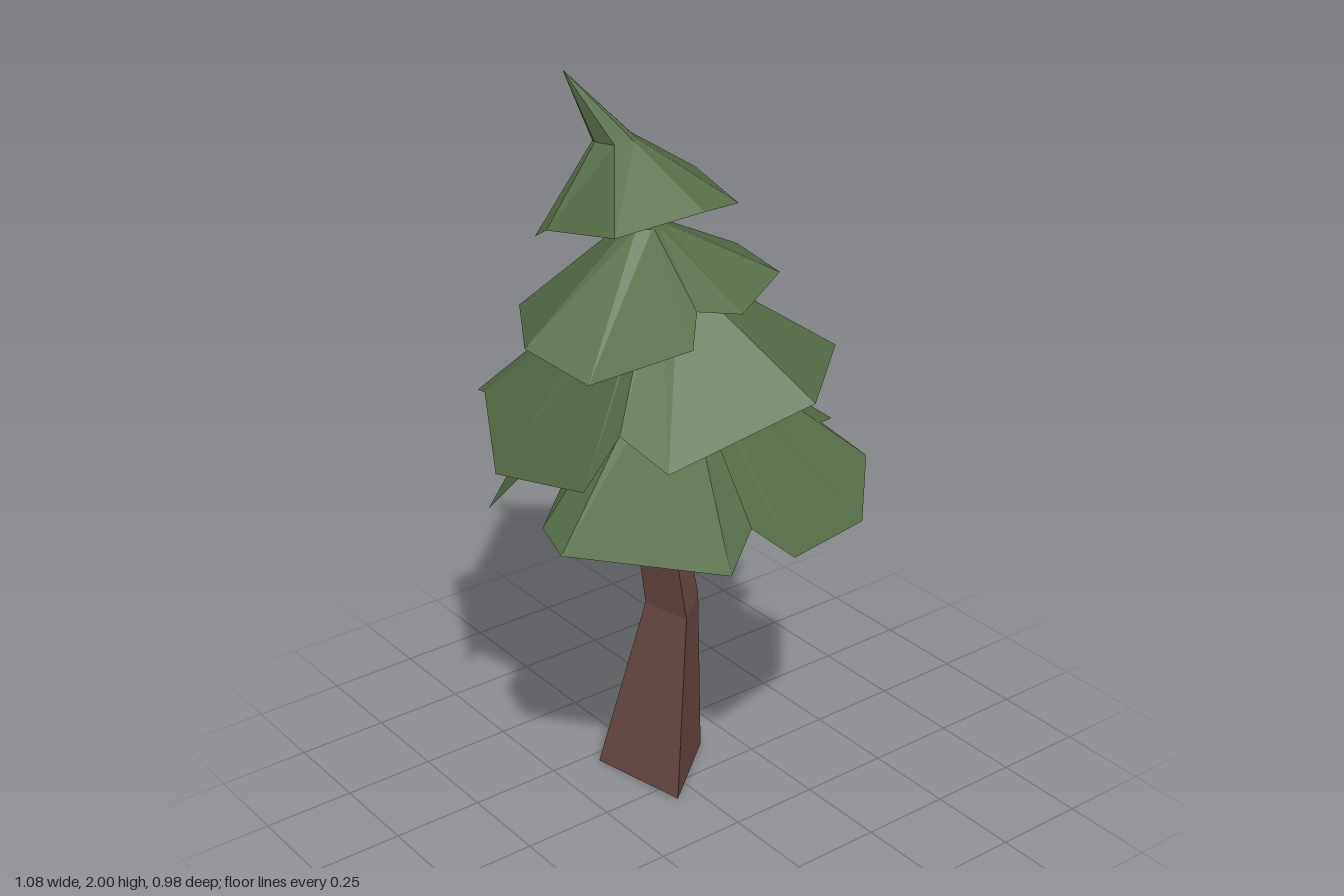
import * as THREE from 'three';

// Skin a stack of closed rings (counter-clockwise from above); a ring of one point closes to a tip.
function loft(rings) {
  const pos = [];
  const tri = (a, b, c) => pos.push(...a, ...b, ...c);
  for (let r = 0; r < rings.length - 1; r++) {
    const lo = rings[r], hi = rings[r + 1];
    lo.forEach((p, i) => {
      const j = (i + 1) % lo.length;
      if (hi.length === 1) tri(p, lo[j], hi[0]);
      else {
        tri(p, lo[j], hi[j]);
        tri(p, hi[j], hi[i]);
      }
    });
  }
  const g = new THREE.BufferGeometry();
  g.setAttribute('position', new THREE.Float32BufferAttribute(pos, 3));
  g.computeVertexNormals();
  return g;
}

// Foliage skirt: ragged rim, a small hub ring facing the rim points, and a tip
function skirt(hub, radius, tip, rim) {
  const [cx, cy, cz] = hub;
  const ring = rim.map(([x, , z]) => {
    const k = radius / Math.hypot(x - cx, z - cz);
    return [cx + (x - cx) * k, cy, cz + (z - cz) * k];
  });
  return loft([rim, ring, [tip]]);
}

// Crooked three-sided trunk: one triangle, moved and shrunk at each level
function trunk() {
  const corners = [[-0.128, 0.112], [0.152, 0.052], [-0.023, -0.163]];
  const level = (y, x, z, s) => corners.map(([u, v]) => [x + u * s, y, z + v * s]);
  const base = level(0, -0.087, 0.008, 1);
  const underside = [...base].reverse();
  const rings = [
    base,
    level(0.52, -0.05, -0.025, 0.5),
    level(0.78, -0.068, 0.005, 0.46),
    level(1.02, -0.075, 0.005, 0.36),
    level(1.8, -0.117, 0.09, 0.13),
  ];
  return { sides: loft(rings), base: loft([underside, [[-0.087, 0, 0.008]]]) };
}

export function createModel() {
  const tree = new THREE.Group();
  tree.name = 'pineTree';

  const foliage = new THREE.MeshStandardMaterial({ color: 0x566d48, flatShading: true, side: THREE.DoubleSide });
  foliage.name = 'foliage green';
  const bark = new THREE.MeshStandardMaterial({ color: 0x6b4b44, flatShading: true });
  bark.name = 'bark brown';

  const add = (name, geometry, material) => {
    const mesh = new THREE.Mesh(geometry, material);
    mesh.name = name;
    tree.add(mesh);
  };

  const { sides, base } = trunk();
  add('trunk', sides, bark);
  add('trunkBase', base, bark);

  // Lowest skirt, split by notches at the front and back
  add('lowestBranches', skirt([-0.03, 1.3, 0], 0.06, [-0.03, 1.33, 0], [
    [0.04, 0.975, -0.475], [-0.19, 0.95, -0.41], [-0.46, 0.94, -0.25], [-0.52, 0.83, 0.16],
    [-0.22, 0.89, 0.445], [-0.17, 0.99, 0.36], [-0.1, 1.06, 0.24], [0.03, 0.94, 0.45],
    [0.16, 0.93, 0.485], [0.5, 0.94, 0.235], [0.475, 1.03, 0.155], [0.535, 0.95, 0.07],
    [0.43, 0.905, -0.24], [0.24, 0.96, -0.42], [0.13, 1.03, -0.36],
  ]), foliage);

  // Widest skirt, with notches at the back left and front right
  add('lowerMiddleBranches', skirt([-0.06, 1.5, 0.02], 0.06, [-0.06, 1.53, 0.02], [
    [0.03, 1.18, -0.49], [-0.26, 1.18, -0.46], [-0.32, 1.21, -0.4], [-0.32, 1.32, -0.17],
    [-0.54, 1.14, -0.15], [-0.51, 1.07, 0.28], [-0.43, 1.1, 0.31], [-0.22, 0.98, 0.42],
    [0.13, 1.06, 0.395], [0.15, 1.19, 0.3], [0.29, 1.13, 0.26], [0.39, 1.25, -0.11],
  ]), foliage);

  // Smaller skirt below the bare stretch of trunk
  add('upperMiddleBranches', skirt([-0.08, 1.61, 0.05], 0.05, [-0.1, 1.62, 0.06], [
    [-0.14, 1.46, -0.29], [-0.18, 1.47, -0.21], [-0.29, 1.38, -0.27], [-0.43, 1.36, 0.04],
    [-0.36, 1.35, 0.24], [-0.1, 1.36, 0.4], [0.08, 1.31, 0.34], [0.23, 1.4, 0.14],
    [0.18, 1.47, 0.09], [0.23, 1.455, -0.01], [0.14, 1.49, -0.2],
  ]), foliage);

  // Crown with a leaning spike
  add('topBranches', skirt([-0.13, 1.825, 0.1], 0.058, [-0.19, 2, 0.208], [
    [-0.2, 1.67, -0.2], [-0.39, 1.63, 0.04], [-0.38, 1.58, 0.11], [-0.19, 1.6, 0.3],
    [-0.14, 1.63, 0.3], [0.07, 1.66, 0.25], [0.12, 1.69, 0.02], [0.1, 1.68, -0.1],
  ]), foliage);

  return tree;
}
